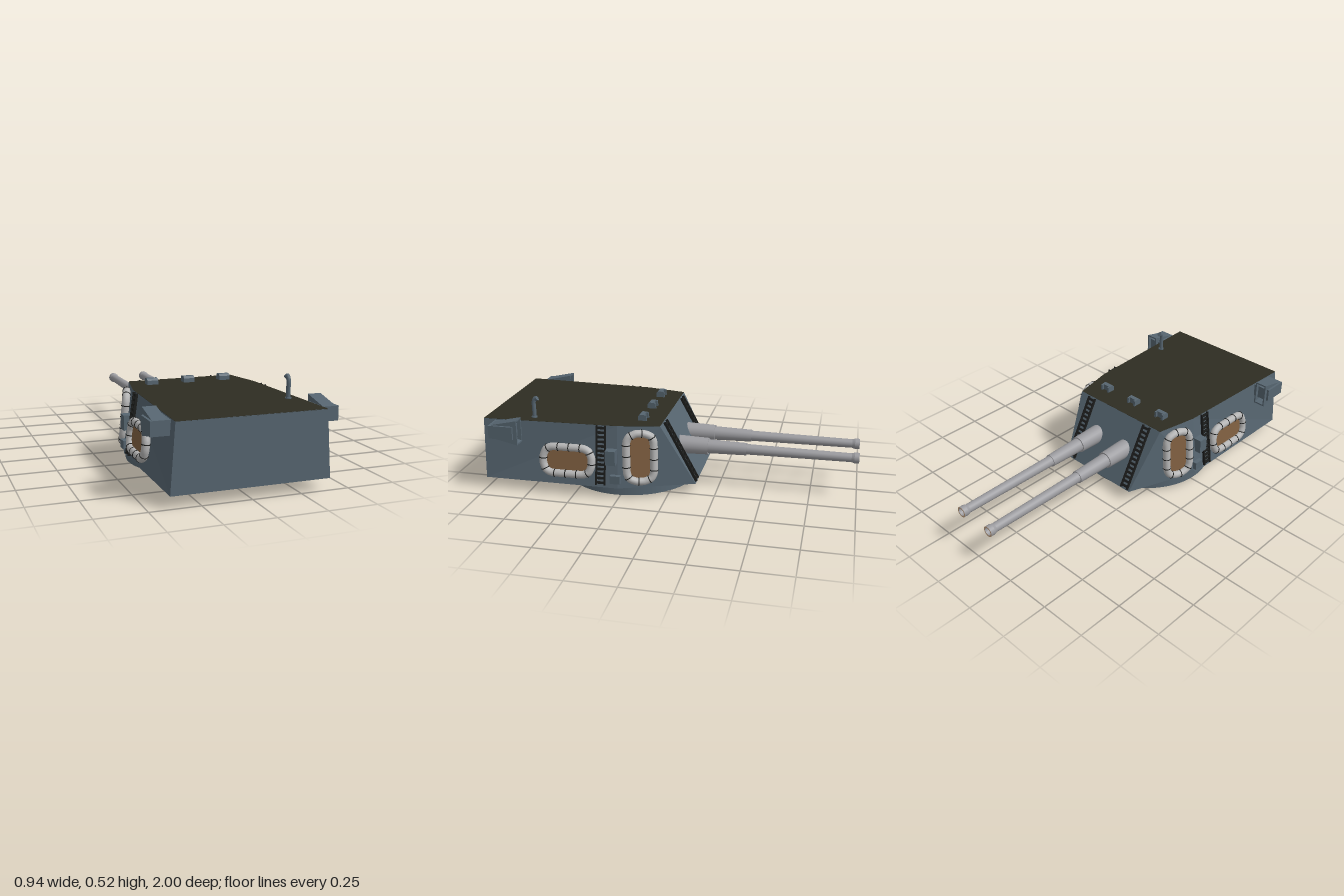
import * as THREE from 'three';

const mat = (name, color, side = THREE.FrontSide) => {
  const m = new THREE.MeshStandardMaterial({ color, side });
  m.name = name;
  return m;
};
const V = (x, y, z) => new THREE.Vector3(x, y, z);

export function createModel() {
  const hullPaint = mat('hull blue grey', 0x566570, THREE.DoubleSide);
  const roofPaint = mat('roof dark olive', 0x2e2d22);
  const gunPaint = mat('gun grey', 0x9b9b9f, THREE.DoubleSide);
  const raftPaint = mat('raft pale grey', 0xb4b4b4);
  const wood = mat('raft floor brown', 0x7f5f40);
  const tan = mat('ring tan', 0xc8a686, THREE.DoubleSide);
  const black = mat('ladder black', 0x1b1c1b);

  const root = new THREE.Group();
  root.name = 'gunTurret';
  const add = (parent, name, geo, material, x = 0, y = 0, z = 0) => {
    const m = new THREE.Mesh(geo, material);
    m.name = name;
    m.position.set(x, y, z);
    parent.add(m);
    return m;
  };
  const box = (w, h, d) => new THREE.BoxGeometry(w, h, d);
  const polygon = (pts) => new THREE.Shape(pts.map(([x, y]) => new THREE.Vector2(x, y)));

  // Hull outline on the +x side: [x, z] from gun end to rear
  const Y0 = 0.06, Y1 = 0.397;
  const low = [[0.245, -0.145], [0.395, 0.25], [0.4, 1]];
  const high = [[0.3, 0.037], [0.345, 0.26], [0.375, 1]];
  const full = (side) => [...side, ...side.map(([x, z]) => [-x, z]).reverse()];
  const at = ([x, z], y) => V(x, y, z);

  // Panels run from a start edge to an end edge: [lowStart, lowEnd, highEnd, highStart]
  const cheek = [at(low[1], Y0), at(low[0], Y0), at(high[0], Y1), at(high[1], Y1)];
  const flank = [at(low[2], Y0), at(low[1], Y0), at(high[1], Y1), at(high[2], Y1)];
  const mirrorX = (v) => V(-v.x, v.y, v.z);
  const face = [cheek[1], mirrorX(cheek[1]), mirrorX(cheek[2]), cheek[2]];
  const back = [mirrorX(flank[0]), flank[0], flank[3], mirrorX(flank[3])];

  const quad = ([a, b, c, d]) => {
    const g = new THREE.BufferGeometry().setFromPoints([a, b, c, a, c, d]);
    g.computeVertexNormals();
    return g;
  };

  // Group lying on a panel: local x along it, y up the slope, z outward
  const onPanel = (parent, name, [a, b, c, d], axis, value, y) => {
    const t = (y - Y0) / (Y1 - Y0);
    const p = a.clone().lerp(d, t), q = b.clone().lerp(c, t);
    const s = (value - p[axis]) / (q[axis] - p[axis]);
    const u = q.clone().sub(p).normalize();
    const up = d.clone().lerp(c, s).sub(a.clone().lerp(b, s));
    const n = u.clone().cross(up).normalize();
    const g = new THREE.Group();
    g.name = name;
    g.setRotationFromMatrix(new THREE.Matrix4().makeBasis(u, n.clone().cross(u), n));
    g.position.copy(p.lerp(q, s));
    parent.add(g);
    return g;
  };

  // Hull floor, rear and roof
  const floor = new THREE.ShapeGeometry(polygon(full(low))).rotateX(Math.PI / 2);
  add(root, 'hullFloor', floor, hullPaint, 0, Y0, 0);
  add(root, 'rearPlate', quad(back), hullPaint);
  const roofGeo = new THREE.ExtrudeGeometry(polygon(full(high)), { depth: 0.004, bevelEnabled: false });
  add(root, 'roof', roofGeo.rotateX(Math.PI / 2), roofPaint, 0, Y1 + 0.001, 0);

  // Sloping gun plate with two tall rounded ports
  const slope = Math.hypot(Y1 - Y0, high[0][1] - low[0][1]);
  const plate = polygon([[-0.245, 0], [0.245, 0], [0.3, slope], [-0.3, slope]]);
  for (const x of [-0.105, 0.105]) {
    const port = new THREE.Path();
    port.absarc(x, 0.185, 0.055, Math.PI, 2 * Math.PI);
    port.absarc(x, 0.25, 0.055, 0, Math.PI);
    port.closePath();
    plate.holes.push(port);
  }
  add(onPanel(root, 'gunPlate', face, 'x', 0, Y0), 'gunPlateSkin', new THREE.ShapeGeometry(plate, 16), hullPaint);

  // Rotating base with its tan bottom ring
  add(root, 'barbette', new THREE.CylinderGeometry(0.375, 0.375, 0.046, 64), hullPaint, 0, 0.037, 0.267);
  add(root, 'baseRing', new THREE.CylinderGeometry(0.34, 0.34, 0.015, 64, 1, true), tan, 0, 0.0075, 0.267);
  add(root, 'baseRingEdge', new THREE.RingGeometry(0.333, 0.34, 64).rotateX(Math.PI / 2), tan, 0, 0, 0.267);
  add(root, 'baseDisc', new THREE.CylinderGeometry(0.333, 0.333, 0.014, 64), hullPaint, 0, 0.008, 0.267);

  // Guns: stepped tubes [name, rear radius, front radius, rear z, front z, open]
  const sections = [
    ['breechSleeve', 0.054, 0.046, 0.08, -0.19],
    ['jacket', 0.039, 0.034, -0.19, -0.4],
    ['barrel', 0.029, 0.024, -0.4, -0.96, true],
    ['muzzleFlare', 0.024, 0.029, -0.96, -0.975, true],
    ['muzzle', 0.029, 0.029, -0.975, -1, true],
    ['bore', 0.021, 0.021, -0.92, -1, true],
  ];
  for (const x of [-0.105, 0.105]) {
    const gun = new THREE.Group();
    gun.name = x < 0 ? 'rightGun' : 'leftGun';
    gun.position.set(x, 0.229, 0);
    for (const [name, r0, r1, z0, z1, open = false] of sections) {
      const g = new THREE.CylinderGeometry(r1, r0, z0 - z1, 24, 1, open).rotateX(-Math.PI / 2);
      add(gun, name, g, gunPaint, 0, 0, (z0 + z1) / 2);
    }
    add(gun, 'muzzleRing', new THREE.RingGeometry(0.021, 0.029, 24).rotateY(Math.PI), tan, 0, 0, -1);
    add(gun, 'boreEnd', new THREE.CircleGeometry(0.021, 24).rotateY(Math.PI), gunPaint, 0, 0, -0.93);
    root.add(gun);
  }

  // Ladder lying on a panel, centred on its group
  const ladder = (g, length, width) => {
    for (const s of [-1, 1]) add(g, 'ladderRail', box(0.007, length, 0.014), black, s * width / 2, 0, 0.007);
    const count = Math.round(length / 0.026);
    for (let i = 0; i < count; i++) {
      add(g, 'ladderRung', box(width, 0.012, 0.01), black, 0, ((i + 0.5) / count - 0.5) * length, 0.006);
    }
  };

  // Life raft: bound float ring around a plank floor
  const raft = (g, w, h) => {
    const r = 0.021, a = w / 2 - r, b = h / 2 - r, c = 0.052;
    const corners = [[a, b - c], [a - c * 0.3, b - c * 0.3], [a - c, b], [c - a, b], [c * 0.3 - a, b - c * 0.3], [-a, b - c]];
    const loop = [...corners, ...corners.map(([x, y]) => [-x, -y])];
    const curve = new THREE.CatmullRomCurve3(loop.map(([x, y]) => V(x, y, 0)), true, 'catmullrom', 0.25);
    add(g, 'raftFloat', new THREE.TubeGeometry(curve, 72, r, 12, true), raftPaint, 0, 0, r);
    const deck = new THREE.ExtrudeGeometry(polygon(loop), { depth: 0.008, bevelEnabled: false });
    add(g, 'raftFloor', deck, wood, 0, 0, 0.01);
    for (let i = 0; i < 12; i++) {
      const band = add(g, 'raftBand', new THREE.TorusGeometry(r, 0.0028, 6, 16), black);
      band.position.copy(curve.getPointAt((i + 0.5) / 12)).add(V(0, 0, r));
      band.quaternion.setFromUnitVectors(V(0, 0, 1), curve.getTangentAt((i + 0.5) / 12));
    }
  };

  // Everything on one side, built at +x and mirrored
  const side = new THREE.Group();
  side.name = 'leftSide';
  add(side, 'cheekPlate', quad(cheek), hullPaint);
  add(side, 'flankPlate', quad(flank), hullPaint);
  raft(onPanel(side, 'flankRaft', flank, 'z', 0.525, 0.198), 0.31, 0.187);
  raft(onPanel(side, 'cheekRaft', cheek, 'z', 0.14, 0.23), 0.187, 0.305);
  ladder(onPanel(side, 'flankLadder', flank, 'z', 0.345, 0.235), 0.325, 0.047);
  ladder(onPanel(side, 'gunPlateLadder', face, 'x', 0.21, 0.23), 0.37, 0.045);
  add(side, 'upperLocker', box(0.06, 0.08, 0.055), hullPaint, 0.38, 0.235, 0.285);
  add(side, 'lowerLocker', box(0.05, 0.045, 0.055), hullPaint, 0.383, 0.112, 0.262);

  // Rangefinder arm with its flared hood, open towards the guns
  add(side, 'rangefinderArm', box(0.115, 0.072, 0.135), hullPaint, 0.4125, 0.355, 0.868);
  const across = (pts, depth) =>
    new THREE.ExtrudeGeometry(polygon(pts), { depth, bevelEnabled: false }).rotateY(-Math.PI / 2);
  const hood = [[0.78, 0.287], [0.93, 0.32], [0.93, 0.39], [0.78, 0.424]];
  const shell = [...hood, [0.78, 0.416], [0.92, 0.384], [0.92, 0.326], [0.78, 0.295]];
  add(side, 'rangefinderHood', across(shell, 0.068), hullPaint, 0.458, 0, 0);
  for (const x of [0.458, 0.398]) add(side, 'hoodCheek', across(hood, 0.008), hullPaint, x, 0, 0);
  root.add(side);
  const other = side.clone();
  other.name = 'rightSide';
  other.scale.x = -1;
  root.add(other);

  // Three sighting hoods on the roof
  const cowl = [[0.175, 0.39], [0.175, 0.42], [0.165, 0.431], [0.14, 0.431], [0.14, 0.39]];
  const wing = [[0.145, 0.39], [0.145, 0.431], [0.13, 0.428], [0.125, 0.39]];
  for (const x of [-0.207, 0, 0.207]) {
    add(root, 'sightHood', across(cowl, 0.06), hullPaint, x + 0.03, 0, 0);
    for (const dx of [0.03, -0.018]) add(root, 'sightHoodWing', across(wing, 0.012), hullPaint, x + dx, 0, 0);
  }

  // Periscope with a bent head
  const stem = new THREE.CatmullRomCurve3([V(0, 0, 0), V(0, 0.05, 0), V(0, 0.088, 0), V(0, 0.106, -0.006), V(0, 0.114, -0.018)]);
  add(root, 'periscope', new THREE.TubeGeometry(stem, 20, 0.011, 12), hullPaint, 0.306, Y1, 0.735);
  const head = add(root, 'periscopeHead', new THREE.CylinderGeometry(0.014, 0.012, 0.012, 12), hullPaint, 0.306, Y1 + 0.108, 0.719);
  head.rotation.x = -1;
  add(root, 'periscopeFoot', new THREE.CylinderGeometry(0.016, 0.016, 0.008, 12), hullPaint, 0.306, Y1 + 0.003, 0.735);
  return root;
}
